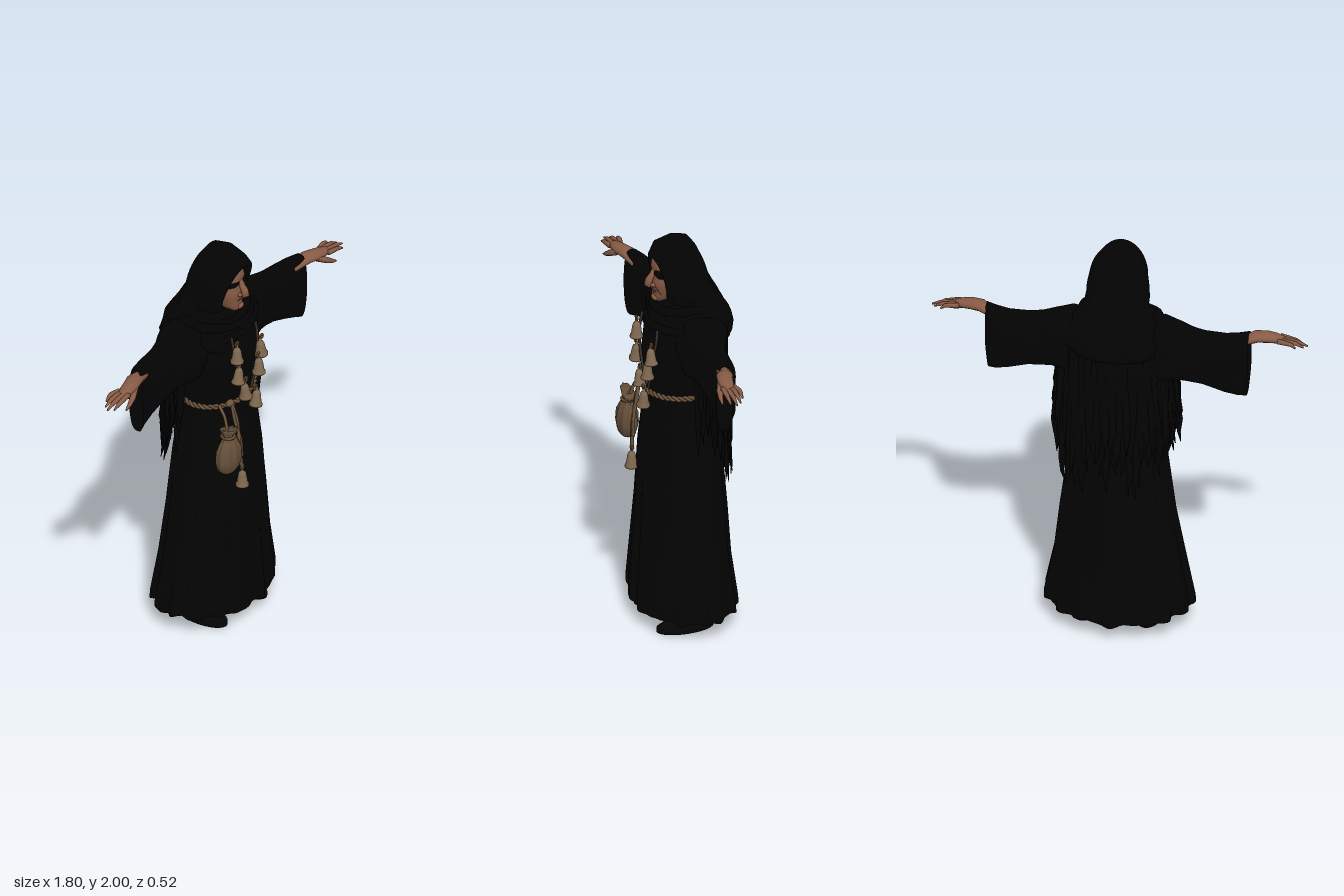
import * as THREE from 'three';
import { mergeGeometries } from 'three/addons/utils/BufferGeometryUtils.js';

const TAU = Math.PI * 2;
const V = (x, y, z) => new THREE.Vector3(x, y, z);
const paint = (name, color, side = THREE.FrontSide) => {
  const m = new THREE.MeshStandardMaterial({ color, side });
  m.name = name;
  return m;
};

// Joins closed rings of points into one smooth skin
function loft(rings) {
  const n = rings[0].length, pos = [], idx = [];
  rings.forEach(r => r.forEach(p => pos.push(p.x, p.y, p.z)));
  for (let j = 0; j < rings.length - 1; j++) for (let i = 0; i < n; i++) {
    const a = j * n + i, b = j * n + (i + 1) % n;
    idx.push(a, a + n, b, b, a + n, b + n);
  }
  const g = new THREE.BufferGeometry();
  g.setAttribute('position', new THREE.Float32BufferAttribute(pos, 3));
  g.setIndex(idx);
  g.computeVertexNormals();
  return g;
}
const ring = (n, f) => Array.from({ length: n }, (_, i) => f(i / n * TAU));
const square = (v, k) => Math.sign(v) * Math.abs(v) ** k;

// Upright rings from rows of [y, halfWidth, zFront, zBack]; warp adjusts each point
const upright = (rows, n, warp = p => p) => loft(rows.map(([y, rx, zf, zb], j) => ring(n, a =>
  warp(V(rx * Math.cos(a), y, (zf + zb) / 2 + (zf - zb) / 2 * Math.sin(a)), a, j))));

// Tapered limb through points [x, y, z, radius], flattened across by flat
function limb(pts, n = 8, flat = 1) {
  const p = pts.map(q => V(q[0], q[1], q[2]));
  const rings = p.map((c, i) => {
    const d = p[Math.min(i + 1, p.length - 1)].clone().sub(p[Math.max(i - 1, 0)]).normalize();
    const A = V(0, 0, 1).addScaledVector(d, -d.z).normalize(), B = A.clone().cross(d);
    const r = pts[i][3];
    return ring(n, a => c.clone().addScaledVector(A, r * flat * Math.cos(a)).addScaledVector(B, r * Math.sin(a)));
  });
  rings.unshift(rings[0].map(() => p[0].clone()));
  rings.push(rings[0].map(() => p[p.length - 1].clone()));
  return loft(rings);
}

function mirrored(geo) {
  const g = geo.clone(), ix = g.index.array;
  g.scale(-1, 1, 1);
  for (let i = 0; i < ix.length; i += 3) [ix[i], ix[i + 1]] = [ix[i + 1], ix[i]];
  g.computeVertexNormals();
  return g;
}
const ball = (x, y, z, sx, sy, sz) => new THREE.SphereGeometry(1, 20, 14).scale(sx, sy, sz).translate(x, y, z);

export function createModel() {
  const root = new THREE.Group();
  const cloth = paint('black cloth', 0x030303, THREE.DoubleSide);
  const skin = paint('skin', 0x885b45);
  const lips = paint('lips and creases', 0x5a382b);
  const dark = paint('eye black', 0x040303);
  const brass = paint('bell tan', 0x7f6850, THREE.DoubleSide);
  const rope = paint('rope brown', 0x6c533a);
  const chain = paint('necklace brown', 0x3d2e21);
  const sack = paint('pouch brown', 0x66503b);
  const leather = paint('shoe leather', 0x060505);
  const add = (name, geo, mat) => {
    const m = new THREE.Mesh(geo, mat);
    m.name = name;
    root.add(m);
    return m;
  };
  let seed = 7;
  const rnd = () => (seed = (seed * 16807) % 2147483647) / 2147483647;

  // Long robe with folds deepening towards the hem
  add('robe', upright([
    [0.075, 0.345, 0.235, -0.245], [0.14, 0.345, 0.235, -0.24], [0.35, 0.305, 0.225, -0.215], [0.6, 0.27, 0.215, -0.2],
    [0.9, 0.233, 0.205, -0.18], [1.1, 0.203, 0.185, -0.155], [1.2, 0.185, 0.165, -0.14], [1.26, 0.188, 0.172, -0.15],
    [1.4, 0.2, 0.188, -0.165], [1.52, 0.21, 0.172, -0.165], [1.6, 0.2, 0.14, -0.15], [1.66, 0.12, 0.1, -0.1],
  ], 120, (p, a, j) => {
    const k = 1 + 0.035 * Math.max(0, 1 - p.y / 1.2) * (Math.sin(15 * a) + 0.6 * Math.sin(23 * a + 1));
    p.x = p.x * k - (j < 3 ? 0.01 : 0);
    p.z *= k;
    if (j === 0) p.y += 0.02 * Math.abs(Math.cos(a)) + 0.007 * Math.sin(9 * a);
    return p;
  }), cloth);

  // Wide hanging sleeves, rows of [x, top, bottom, zFront, zBack]
  const sleeve = loft([
    [0.12, 1.64, 1.38, 0.08, -0.12], [0.22, 1.65, 1.35, 0.1, -0.15], [0.3, 1.628, 1.355, 0.075, -0.12],
    [0.36, 1.612, 1.345, 0.058, -0.095], [0.42, 1.602, 1.335, 0.05, -0.083], [0.52, 1.6, 1.3, 0.045, -0.073],
    [0.58, 1.606, 1.28, 0.05, -0.055], [0.63, 1.612, 1.27, 0.058, -0.025],
  ].map(([x, t, b, zf, zb], j) => ring(40, a => {
    const s = Math.sin(a), w = 1 + 0.07 * Math.sin(5 * a + j * 1.3) * (j < 7 ? 1 : 0);
    return V(x - (j === 7 && s < 0 ? -0.012 * s : 0), (t + b) / 2 + (t - b) / 2 * square(s, 0.85),
      (zf + zb) / 2 + (zf - zb) / 2 * square(Math.cos(a), 0.6) * w);
  })));

  // Wrist, palm, four fingers and a drooping thumb
  const fingers = [0, 1, 2, 3].map(i => {
    const z = 0.012 + i * 0.022, len = [0.85, 0.885, 0.9, 0.875][i];
    return limb([[0.765, 1.573, 0.024 + i * 0.018, 0.013], [0.81, 1.574 - i * 0.003, z, 0.0115],
      [(0.81 + len) / 2, 1.57 - i * 0.004, z, 0.01], [len, 1.552 - i * 0.003, z, 0.004]]);
  });
  const hand = mergeGeometries([
    limb([[0.57, 1.56, 0.01, 0.02], [0.625, 1.572, 0.02, 0.023], [0.66, 1.583, 0.032, 0.026], [0.71, 1.58, 0.046, 0.025],
      [0.75, 1.575, 0.05, 0.022], [0.785, 1.572, 0.05, 0.014]], 14, 1.5),
    limb([[0.7, 1.572, 0.065, 0.018], [0.74, 1.548, 0.085, 0.015], [0.775, 1.528, 0.092, 0.011], [0.805, 1.513, 0.094, 0.004]]),
    ...fingers,
  ]);
  // Slippers with a sloping toe, stockinged shins and ankle straps
  const shoe = upright([
    [0, 0.001, 0.05, 0.04], [0, 0.068, 0.182, -0.1], [0.018, 0.068, 0.182, -0.1], [0.035, 0.06, 0.15, -0.098],
    [0.05, 0.05, 0.1, -0.097], [0.065, 0.042, 0.05, -0.092], [0.068, 0.001, -0.02, -0.03],
  ], 28, p => p.add(V(0.152, 0, 0)));
  const shin = limb([[0.14, 0.05, -0.035, 0.036], [0.14, 0.1, -0.04, 0.036], [0.13, 0.3, -0.03, 0.05], [0.1, 0.6, 0, 0.06]], 12);
  const instep = ball(0.147, 0.06, 0.02, 0.036, 0.014, 0.06);
  const strap = new THREE.TorusGeometry(0.046, 0.009, 6, 20).rotateX(Math.PI / 2 + 0.2).translate(0.143, 0.073, -0.03);
  [['left', g => g], ['right', mirrored]].forEach(([side, f]) => {
    add(side + 'Sleeve', f(sleeve), cloth);
    add(side + 'Hand', f(hand), skin);
    add(side + 'Shoe', f(shoe), leather);
    add(side + 'Shin', f(shin), cloth);
    add(side + 'Instep', f(instep), rope);
    add(side + 'AnkleStrap', f(strap), rope);
  });

  // Hood: ovals running back from the face opening, [z, halfWidth, top, bottom, tilt]
  add('hood', loft([
    [0.095, 0.08, 1.89, 1.69, 0.035], [0.12, 0.09, 1.903, 1.678, 0.03], [0.122, 0.105, 1.935, 1.66, 0.036], [0.09, 0.128, 1.978, 1.63, 0.03],
    [0.03, 0.142, 2.0, 1.6, 0.005], [-0.04, 0.14, 1.985, 1.57, -0.01], [-0.085, 0.122, 1.945, 1.55, -0.025],
    [-0.11, 0.09, 1.88, 1.55, -0.02], [-0.13, 0.045, 1.78, 1.58, -0.01], [-0.135, 0.001, 1.7, 1.68, 0],
  ].map(([z, rx, t, b, k], j) => ring(40, a => {
    const s = Math.sin(a), c = Math.cos(a), low = s < 0 && j > 2 ? 1 - 0.35 * s : 1;
    const skew = j < 3 ? 0.012 : 0;
    return V(rx * low * c + skew * (s + 0.3), (t + b) / 2 + (t - b) / 2 * s + skew * c, z + k * s * (j > 4 ? -s : 1));
  }))), cloth);

  // Draped mantle around neck and shoulders, dipping to a point at the back
  add('mantle', upright([
    [1.8, 0.125, 0.04, -0.115], [1.73, 0.14, 0.07, -0.148], [1.69, 0.165, 0.11, -0.172], [1.645, 0.2, 0.145, -0.2], [1.605, 0.245, 0.15, -0.22],
    [1.565, 0.275, 0.165, -0.23], [1.53, 0.262, 0.172, -0.222], [1.5, 0.235, 0.16, -0.185],
  ], 72, (p, a, j) => {
    const s = Math.sin(a), k = 1 + 0.03 * Math.sin(7 * a + j * 0.9) + 0.018 * Math.sin(13 * a - j);
    p.x *= k;
    p.z *= k;
    p.y -= (j > 4 ? 0.03 : 0) * Math.max(0, -s) ** 3 + (j > 4 ? 0.01 : 0) * Math.cos(6 * a);
    return p;
  }), cloth);
  // Scarf folds below the chin, [y, halfWidth, halfDepth, thickness, tilt]
  [[1.655, 0.185, 0.155, 0.022, 0.1], [1.622, 0.222, 0.16, 0.024, -0.1], [1.58, 0.245, 0.175, 0.022, 0.07]].forEach(([y, rx, rz, r, tilt], i) =>
    add('scarfFold' + (i + 1), new THREE.TorusGeometry(0.86, 0.14, 10, 48).rotateX(Math.PI / 2)
      .scale(rx, r / 0.14, rz).rotateZ(tilt).rotateX(0.1).translate(0, y, 0), cloth));

  // Fringed shawl hanging down the back: two layers of strips flaring away
  const shawl = [], count = 30;
  for (let row = 0; row < 2; row++) for (let i = 0; i < count; i++) {
    const a = -0.12 + (i + row * 0.5) / count * (Math.PI + 0.24), s = Math.max(0, Math.sin(a)), c = Math.cos(a);
    const end = 1.06 - 0.22 * Math.min(1, s * 1.6) + (rnd() - 0.45) * 0.2 + row * 0.06;
    const at = (y, r, flare) => [c * (0.268 + flare * 0.7) + (rnd() - 0.5) * 0.02, y,
      -Math.sin(a) * (0.182 + flare + (rnd() - 0.5) * 0.01), r];
    const mid = (1.45 + end) / 2;
    shawl.push(limb([at(1.54 - 0.1 * (1 - s), 0.026, 0), at(1.4, 0.026, 0), at(mid, 0.024, 0.015),
      at(end + 0.12, 0.02, 0.03), at(end + 0.05, 0.009, 0.037), at(end, 0.002, 0.04)], 6, 0.6));
  }
  add('shawlFringe', mergeGeometries(shawl), cloth);

  // Aged face with sunken cheeks and strong chin
  add('face', upright([
    [1.672, 0.002, 0.11, 0.1], [1.678, 0.03, 0.135, 0.02], [1.695, 0.05, 0.147, 0], [1.715, 0.063, 0.142, -0.02], [1.735, 0.072, 0.146, -0.03],
    [1.765, 0.083, 0.148, -0.04], [1.79, 0.09, 0.15, -0.05], [1.825, 0.09, 0.139, -0.05], [1.85, 0.09, 0.152, -0.05],
    [1.89, 0.085, 0.145, -0.05], [1.93, 0.06, 0.115, -0.03], [1.95, 0.002, 0.04, 0.03],
  ], 36, (p, a) => p.add(V(0, 0, p.y < 1.84 && p.z > 0.05 ? 0.008 * Math.abs(Math.sin(2 * a)) : 0))), skin);
  add('nose', limb([[0.008, 1.845, 0.142, 0.011], [0.008, 1.815, 0.153, 0.014], [0.008, 1.792, 0.168, 0.018],
    [0.008, 1.772, 0.173, 0.019], [0.008, 1.757, 0.162, 0.01]], 12), skin);
  add('chin', ball(0.008, 1.697, 0.135, 0.027, 0.017, 0.02), skin);
  add('mouth', ball(0.008, 1.738, 0.144, 0.032, 0.0045, 0.008), lips);
  [-1, 1].forEach(s => {
    const side = s > 0 ? 'left' : 'right', x = 0.008;
    add(side + 'Nostril', ball(x + s * 0.017, 1.77, 0.152, 0.011, 0.01, 0.014), skin);
    const eye = add(side + 'Eye', ball(0, 0, 0, 0.034, 0.02, 0.014), dark);
    eye.position.set(x + s * 0.044, 1.832, 0.131);
    eye.rotation.set(0, s * 0.5, s * -0.12);
    add(side + 'Crease', limb([[x + s * 0.022, 1.768, 0.146, 0.003], [x + s * 0.036, 1.75, 0.137, 0.004],
      [x + s * 0.041, 1.725, 0.122, 0.003]], 6), lips);
  });

  // Rope belt, two twisted strands
  [0, Math.PI].forEach((ph, i) => {
    const pts = ring(160, a => {
      const t = a * 20 + ph, k = 1.03 + 0.025 * Math.cos(t);
      return V(0.188 * k * Math.cos(a), 1.213 + 0.015 * Math.cos(a) + 0.008 * Math.sin(t), 0.014 + 0.16 * k * Math.sin(a));
    });
    add('beltStrand' + (i + 1), new THREE.TubeGeometry(new THREE.CatmullRomCurve3(pts, true), 240, 0.008, 5, true), rope);
  });

  // Necklace and hanging cords
  const cord = (name, mat, r, pts) => add(name, new THREE.TubeGeometry(
    new THREE.CatmullRomCurve3(pts.map(p => V(...p))), 40, r, 6), mat);
  cord('necklaceRight', chain, 0.007, [[-0.09, 1.58, 0.165], [-0.085, 1.48, 0.182], [-0.06, 1.4, 0.186], [-0.02, 1.31, 0.186], [0.02, 1.25, 0.182]]);
  cord('necklaceLeft', chain, 0.007, [[0.1, 1.57, 0.16], [0.105, 1.5, 0.168], [0.085, 1.4, 0.18], [0.06, 1.3, 0.182], [0.04, 1.24, 0.182]]);
  cord('hangingCord', rope, 0.009, [[-0.1, 1.22, 0.175], [-0.085, 1.12, 0.195], [-0.09, 1.0, 0.212], [-0.08, 0.86, 0.22]]);
  cord('looseCord', rope, 0.008, [[-0.1, 1.22, 0.172], [-0.1, 1.12, 0.195], [-0.08, 1.02, 0.212], [-0.075, 0.93, 0.215]]);
  cord('pouchCord', rope, 0.008, [[-0.14, 1.21, 0.13], [-0.155, 1.17, 0.175], [-0.165, 1.1, 0.2]]);
  add('beltKnot', ball(-0.1, 1.215, 0.165, 0.024, 0.018, 0.018), rope);

  // Small bells
  const bell = new THREE.LatheGeometry([[0.024, 0], [0.032, 0], [0.032, 0.009], [0.026, 0.018], [0.02, 0.06],
    [0.015, 0.074], [0.007, 0.08], [0.007, 0.093], [0, 0.095]].map(p => new THREE.Vector2(...p)), 18);
  [[-0.085, 1.45, 0.195], [0.105, 1.395, 0.192], [-0.085, 1.335, 0.2], [0.075, 1.31, 0.2], [-0.025, 1.225, 0.2],
    [0.04, 1.15, 0.208], [-0.08, 0.77, 0.222]].forEach(([x, y, z], i) => {
    const b = add('bell' + (i + 1), bell, brass);
    b.position.set(x, y, z);
    b.rotation.z = Math.sin(i * 2.1) * 0.15;
    add('bellKnot' + (i + 1), new THREE.TorusGeometry(0.011, 0.005, 6, 12).translate(x, y + 0.1, z), rope);
  });

  // Gathered pouch with a tied neck
  add('pouch', upright([
    [0.892, 0.002, 0.222, 0.218], [0.897, 0.04, 0.24, 0.19], [0.92, 0.066, 0.254, 0.17], [0.965, 0.076, 0.262, 0.16],
    [1.02, 0.069, 0.257, 0.165], [1.06, 0.05, 0.24, 0.18], [1.085, 0.03, 0.226, 0.186], [1.1, 0.04, 0.235, 0.182],
    [1.125, 0.054, 0.24, 0.178], [1.11, 0.002, 0.212, 0.208],
  ], 48, (p, a, j) => {
    const k = 1 + (j > 3 ? 0.07 : 0.03) * Math.sin(9 * a);
    return V(p.x * k - 0.17 + (p.y - 1) * 0.03, p.y - (j > 6 ? p.x * 0.3 : 0), 0.21 + (p.z - 0.21) * k);
  }), sack);
  add('pouchTie', new THREE.TorusGeometry(0.031, 0.007, 6, 20).rotateX(Math.PI / 2).translate(-0.168, 1.085, 0.206), rope);

  return root;
}
